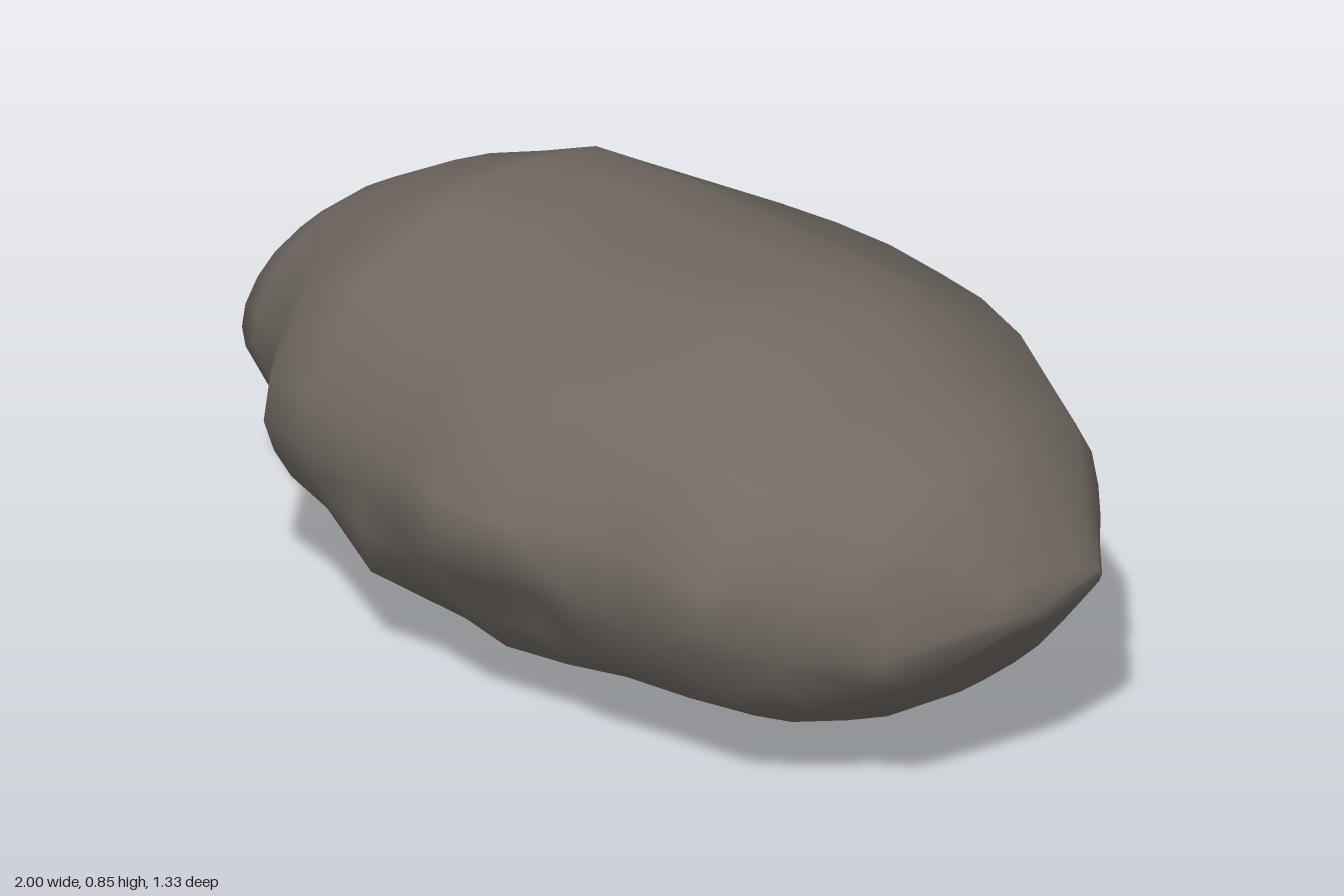
import * as THREE from 'three';

// Stations along the rock: x, bottom y, top y, back z, front z
const STATIONS = [
  [-1.0, 0.33, 0.55, -0.11, 0.09],
  [-0.93, 0.24, 0.61, -0.2, 0.28],
  [-0.87, 0.21, 0.66, -0.3, 0.31],
  [-0.74, 0.165, 0.735, -0.47, 0.375],
  [-0.62, 0.12, 0.78, -0.53, 0.52],
  [-0.5, 0.08, 0.83, -0.59, 0.54],
  [-0.3, 0.003, 0.82, -0.67, 0.57],
  [-0.16, 0.01, 0.825, -0.665, 0.61],
  [-0.01, 0.02, 0.84, -0.66, 0.66],
  [0.15, 0.045, 0.85, -0.645, 0.64],
  [0.28, 0.06, 0.855, -0.63, 0.59],
  [0.42, 0.055, 0.825, -0.6, 0.54],
  [0.6, 0.095, 0.757, -0.52, 0.53],
  [0.7, 0.12, 0.735, -0.47, 0.42],
  [0.8, 0.185, 0.68, -0.38, 0.33],
  [0.87, 0.24, 0.645, -0.31, 0.27],
  [0.97, 0.38, 0.48, -0.22, 0.06],
];

// Cross-section outline (z, y), from the front over the top and round underneath
const OUTLINE = [
  [0.66, 0.43], [0.64, 0.54], [0.55, 0.65], [0.46, 0.75], [0.27, 0.79], [0.15, 0.845],
  [0, 0.855], [-0.16, 0.842], [-0.3, 0.82], [-0.41, 0.73], [-0.59, 0.65], [-0.63, 0.54],
  [-0.66, 0.43], [-0.63, 0.32], [-0.57, 0.22], [-0.45, 0.12], [-0.31, 0.045], [-0.16, 0.04],
  [0, 0.005], [0.16, 0.02], [0.33, 0.06], [0.45, 0.13], [0.55, 0.23], [0.6, 0.33],
];

// Local dents and bulges: centre, radius, push
const PUSHES = [
  { at: [0.1, 0.33, 0.56], r: 0.2, by: [0, 0.02, -0.05] }, // hollow under the front ledge
  { at: [0.26, 0.61, 0.55], r: 0.15, by: [0, 0, -0.035] }, // step above the front ledge
  { at: [-0.33, 0.24, 0.5], r: 0.2, by: [0, 0, 0.06] }, // low front lip
  { at: [0.36, 0.42, 0.54], r: 0.16, by: [0, 0, -0.03] }, // dip beside the front knob
  { at: [0.62, 0.34, 0.5], r: 0.16, by: [0, 0, -0.03] }, // hollow under the front knob
  { at: [0.87, 0.35, 0.25], r: 0.13, by: [0.01, 0, 0.035] }, // lip on the left end
  { at: [0.5, 0.24, -0.45], r: 0.22, by: [0, 0.01, 0.035] }, // hollow low on the back
  { at: [-0.34, 0.65, -0.57], r: 0.2, by: [0, 0, 0.025] }, // flat behind the top
  { at: [0.14, 0.07, -0.31], r: 0.16, by: [0, -0.04, 0] }, // foot underneath
];

const MID = 0.43;
const HALF_HEIGHT = 0.425;
const HALF_DEPTH = 0.66;

function pushed(x, y, z) {
  const p = new THREE.Vector3(x, y, z);
  for (const { at, r, by } of PUSHES) {
    const d = Math.hypot(x - at[0], y - at[1], z - at[2]) / r;
    if (d < 1) p.addScaledVector(new THREE.Vector3(...by), (1 - d * d) ** 2);
  }
  return p.toArray();
}

function rockGeometry() {
  const n = OUTLINE.length;
  const last = STATIONS.length - 1;
  const positions = [];
  const index = [];

  // Fit the outline to every station, rounder towards the ends
  for (const [x, bottom, top, back, front] of STATIONS) {
    for (const [oz, oy] of OUTLINE) {
      const p = new THREE.Vector2(oz / HALF_DEPTH, (oy - MID) / HALF_HEIGHT);
      p.setLength(THREE.MathUtils.lerp(p.length(), 1, Math.abs(x)));
      const z = p.x > 0 ? p.x * front : -p.x * back;
      const y = MID + p.y * (p.y > 0 ? top - MID : MID - bottom);
      positions.push(...pushed(x, y, z));
    }
  }
  const rightEnd = positions.length / 3;
  positions.push(-1, 0.44, -0.01, 1, 0.43, -0.02);

  // Skin between stations, then the two ends
  for (let j = 0; j < n; j++) {
    const k = (j + 1) % n;
    for (let i = 0; i < last; i++) {
      const a = i * n + j, b = a + n, c = i * n + k, d = c + n;
      if ((i + j) % 2) index.push(a, b, c, b, d, c);
      else index.push(a, b, d, a, d, c);
    }
    index.push(rightEnd, j, k);
    index.push(rightEnd + 1, last * n + k, last * n + j);
  }

  const geometry = new THREE.BufferGeometry();
  geometry.setAttribute('position', new THREE.Float32BufferAttribute(positions, 3));
  geometry.setIndex(index);
  geometry.computeVertexNormals();
  return geometry;
}

export function createModel() {
  const group = new THREE.Group();
  group.name = 'rock';
  const stone = new THREE.MeshStandardMaterial({ color: 0x716962 });
  stone.name = 'stone';
  const boulder = new THREE.Mesh(rockGeometry(), stone);
  boulder.name = 'boulder';
  group.add(boulder);
  return group;
}
